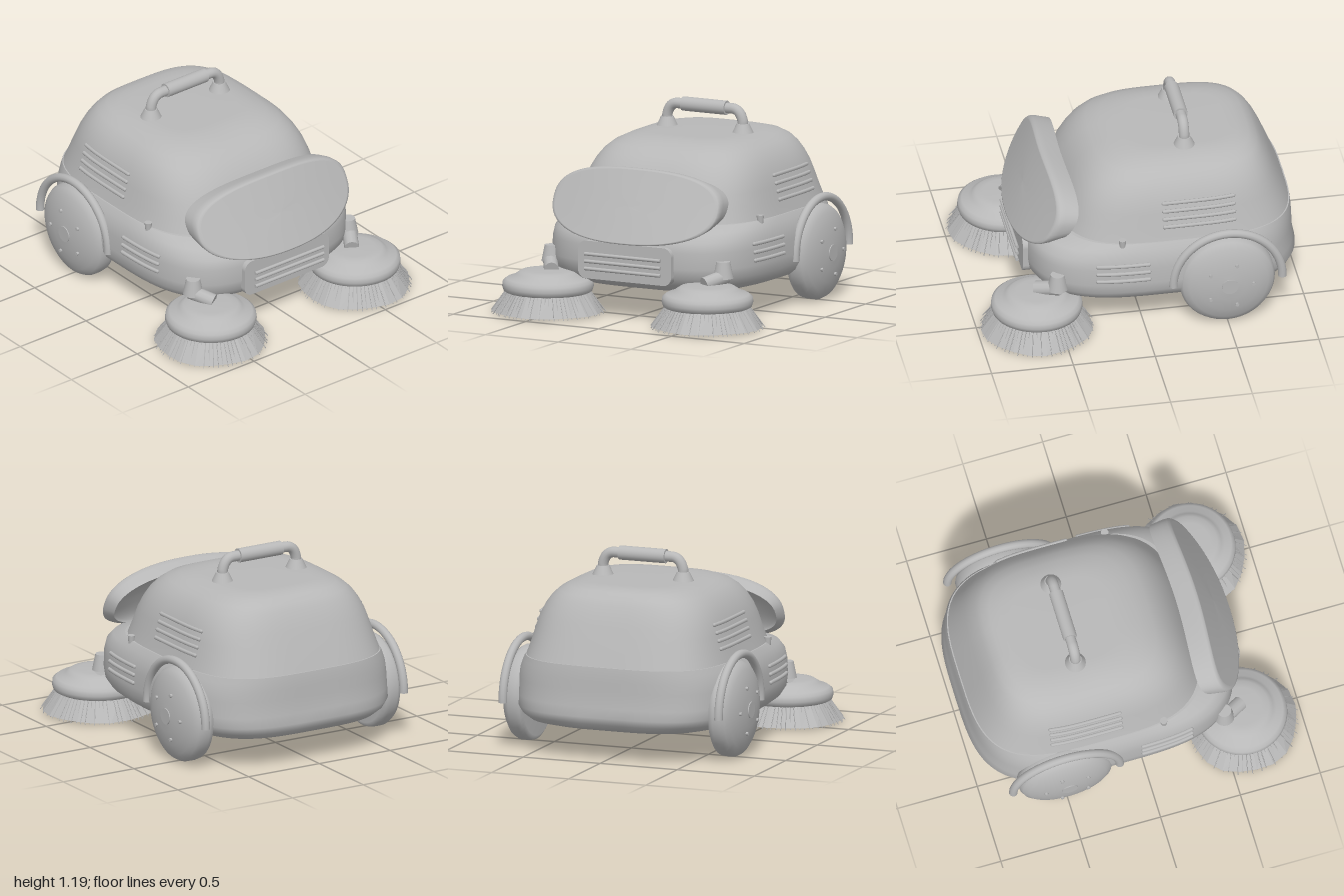
import * as THREE from 'three';

const grey = new THREE.MeshStandardMaterial({ color: 0xb8b8b8 });
grey.name = 'body grey';
const greyOpen = grey.clone();
greyOpen.side = THREE.DoubleSide;
const V = (x, y, z) => new THREE.Vector3(x, y, z);

function add(parent, name, geo, pos = [0, 0, 0], mat = grey) {
  const m = new THREE.Mesh(geo, mat);
  m.name = name;
  m.position.set(...pos);
  parent.add(m);
  return m;
}

// Skin over closed rings of equal point count
function loft(rings) {
  const n = rings[0].length, pos = [], idx = [];
  rings.forEach(r => r.forEach(p => pos.push(p.x, p.y, p.z)));
  for (let i = 0; i < rings.length - 1; i++) {
    for (let j = 0; j < n; j++) {
      const a = i * n + j, b = i * n + (j + 1) % n, c = a + n, d = b + n;
      idx.push(a, c, b, b, c, d);
    }
  }
  const g = new THREE.BufferGeometry();
  g.setAttribute('position', new THREE.Float32BufferAttribute(pos, 3));
  g.setIndex(idx);
  g.computeVertexNormals();
  return g;
}

// Unit superellipse outline
const outline = (n, count) => Array.from({ length: count }, (_, i) => {
  const t = i / count * Math.PI * 2, c = Math.cos(t), s = Math.sin(t);
  return [Math.sign(c) * Math.abs(c) ** (2 / n), Math.sign(s) * Math.abs(s) ** (2 / n)];
});

// Body sections: y, half width, back z, front z
const CHASSIS = [
  [0.18, 0.56, -0.87, 0.52], [0.2, 0.63, -0.94, 0.57], [0.235, 0.675, -0.975, 0.62],
  [0.28, 0.7, -0.995, 0.655], [0.34, 0.705, -0.98, 0.665], [0.44, 0.7, -0.975, 0.665],
  [0.5, 0.69, -0.973, 0.65], [0.55, 0.668, -0.97, 0.6], [0.585, 0.645, -0.965, 0.48],
];
const HOOD = [
  [0.575, 0.642, -0.962, 0.46], [0.67, 0.612, -0.925, 0.425], [0.75, 0.592, -0.892, 0.395],
  [0.82, 0.57, -0.863, 0.355], [0.88, 0.54, -0.835, 0.315], [0.93, 0.505, -0.805, 0.265],
  [0.97, 0.46, -0.775, 0.21], [1.0, 0.4, -0.73, 0.13], [1.015, 0.33, -0.67, 0.05],
  [1.02, 0.27, -0.61, -0.02], [1.02, 0, -0.31, -0.31],
];
const N = 3.5;
const section = ([y, hx, zb, zf]) =>
  outline(N, 96).map(([u, v]) => V(u * hx, y, (zb + zf) / 2 + v * (zf - zb) / 2));

// Half width of the body surface at a height and depth
function surfaceX(rows, y, z) {
  const i = rows.findIndex((r, k) => k > 0 && r[0] >= y);
  const t = (y - rows[i - 1][0]) / (rows[i][0] - rows[i - 1][0]);
  const [, hx, zb, zf] = rows[i].map((v, k) => rows[i - 1][k] * (1 - t) + v * t);
  const w = Math.abs((z - (zb + zf) / 2) / ((zf - zb) / 2));
  return hx * (1 - w ** N) ** (1 / N);
}

// Rounded bar following the body side
function sideVent(parent, s, rows, y, z0, z1) {
  const pts = Array.from({ length: 7 }, (_, i) => {
    const z = z0 + (z1 - z0) * i / 6;
    return V(s * (surfaceX(rows, y, z) + 0.004), y, z);
  });
  add(parent, 'sideVent', new THREE.TubeGeometry(new THREE.CatmullRomCurve3(pts), 12, 0.012, 8));
  for (const p of [pts[0], pts[6]]) add(parent, 'ventEnd', new THREE.SphereGeometry(0.012, 8, 6), p.toArray());
}

const lathe = (pts, seg = 48) => new THREE.LatheGeometry(pts.map(p => new THREE.Vector2(...p)), seg);

// Tilted oval visor with a deep rim, bowed across its width
function buildVisor() {
  const g = new THREE.Group();
  g.name = 'visor';
  const shape = outline(2.45, 72);
  const ring = (k, dz = 0, ky = k) => shape.map(([u, v]) => {
    const x = 0.57 * u * k, y = 0.692 + 0.217 * v * k;
    return V(x, 0.692 + 0.217 * v * ky, 0.732 - (y - 0.475) * 0.49 - 0.08 * (x / 0.57) ** 2 + dz);
  });
  add(g, 'visorFace', loft([0, 0.25, 0.5, 0.75, 0.955].map(k => ring(k))));
  add(g, 'visorRim', loft([ring(0.955), ring(0.985, -0.002), ring(1, -0.015), ring(1, -0.05, 0.97), ring(0.985, -0.13, 0.82)]));
  add(g, 'visorBack', loft([ring(0.985, -0.13, 0.82), ring(0.93, -0.11, 0.77), ring(0.6, -0.06), ring(0, -0.04)]));
  return g;
}

function buildWheel(s) {
  const g = new THREE.Group();
  g.name = 'wheel';
  add(g, 'wheelDisc', lathe([[0, 0], [0.26, 0], [0.285, 0.015], [0.29, 0.04], [0.29, 0.085], [0.275, 0.112],
    [0.24, 0.135], [0.18, 0.156], [0.1, 0.172], [0, 0.178]]));
  add(g, 'hubCap', new THREE.CylinderGeometry(0.05, 0.05, 0.006, 24), [0, 0.178, 0]);
  for (let i = 0; i < 5; i++) {
    const a = i / 5 * Math.PI * 2;
    add(g, 'wheelBolt', new THREE.CylinderGeometry(0.011, 0.011, 0.02, 10),
      [0.145 * Math.sin(a), 0.166, -0.145 * Math.cos(a)]);
  }
  g.rotation.z = -s * Math.PI / 2;
  g.position.set(s * 0.6, 0.3, -0.5);
  return g;
}

function buildBrush(s) {
  const g = new THREE.Group();
  g.name = 'sweepingBrush';
  add(g, 'brushCap', lathe([[0, 0.13], [0.25, 0.13], [0.268, 0.14], [0.276, 0.165], [0.272, 0.195], [0.25, 0.212],
    [0.21, 0.222], [0.19, 0.24], [0.165, 0.256], [0.12, 0.262], [0, 0.264]]));
  // Faceted skirt with a slightly wavy lower edge
  const skirt = new THREE.CylinderGeometry(0.25, 0.335, 0.125, 20, 1, true).toNonIndexed();
  const p = skirt.attributes.position;
  for (let i = 0; i < p.count; i++) {
    if (p.getY(i) > 0) continue;
    const k = 1 + 0.025 * Math.sin(5 * Math.atan2(p.getZ(i), p.getX(i)) + 1);
    p.setXYZ(i, p.getX(i) * k, p.getY(i), p.getZ(i) * k);
  }
  skirt.computeVertexNormals();
  add(g, 'bristleSkirt', skirt, [0, 0.08, 0], greyOpen);
  for (let i = 0; i < 72; i++) {
    const a = i / 72 * Math.PI * 2, r = 0.337 + 0.009 * Math.sin(i * 2.4);
    const path = new THREE.LineCurve3(V(0.25 * Math.cos(a), 0.14, 0.25 * Math.sin(a)),
      V(r * Math.cos(a), 0.008, r * Math.sin(a)));
    add(g, 'bristle', new THREE.TubeGeometry(path, 1, 0.003, 4));
  }
  g.position.set(s * 0.548, 0, 0.64);
  return g;
}

export function createModel() {
  const model = new THREE.Group();
  model.name = 'floorSweeper';

  // Shell
  const base = section(CHASSIS[0]);
  add(model, 'chassis', loft(CHASSIS.map(section)));
  add(model, 'chassisFloor', loft([base.map(() => V(0, 0.18, -0.17)), base]));
  add(model, 'chassisShelf', loft([section(CHASSIS[8]), section([0.59, 0.6, -0.9, 0.4])]));
  add(model, 'hood', loft(HOOD.map(section)));
  model.add(buildVisor());

  // Front grille
  const w = 0.32, h = 0.115, r = 0.055, panel = new THREE.Shape();
  panel.absarc(w - r, h - r, r, 0, Math.PI / 2);
  panel.absarc(r - w, h - r, r, Math.PI / 2, Math.PI);
  panel.absarc(r - w, r - h, r, Math.PI, Math.PI * 1.5);
  panel.absarc(w - r, r - h, r, Math.PI * 1.5, Math.PI * 2);
  add(model, 'grillePanel', new THREE.ExtrudeGeometry(panel, { depth: 0.06, bevelEnabled: false }), [0, 0.355, 0.62]);
  for (const y of [0.305, 0.35, 0.395]) {
    add(model, 'grilleBar', new THREE.CylinderGeometry(0.011, 0.011, 0.52, 10), [0, y, 0.705]).rotation.z = Math.PI / 2;
  }

  // Carry handle
  const handle = new THREE.Group();
  handle.name = 'handle';
  model.add(handle);
  const path = new THREE.CurvePath();
  const at = (x, y) => V(x, y, -0.315);
  path.add(new THREE.LineCurve3(at(-0.26, 1.03), at(-0.26, 1.08)));
  path.add(new THREE.QuadraticBezierCurve3(at(-0.26, 1.08), at(-0.245, 1.155), at(-0.19, 1.158)));
  path.add(new THREE.LineCurve3(at(-0.19, 1.158), at(0.19, 1.158)));
  path.add(new THREE.QuadraticBezierCurve3(at(0.19, 1.158), at(0.245, 1.155), at(0.26, 1.08)));
  path.add(new THREE.LineCurve3(at(0.26, 1.08), at(0.26, 1.03)));
  add(handle, 'handleTube', new THREE.TubeGeometry(path, 60, 0.032, 14));
  add(handle, 'handleGrip', new THREE.CylinderGeometry(0.043, 0.043, 0.3, 24), [0, 1.158, -0.315]).rotation.z = Math.PI / 2;

  // Mirrored parts
  for (const s of [-1, 1]) {
    add(handle, 'handleFoot', new THREE.CylinderGeometry(0.038, 0.064, 0.055, 24), [s * 0.26, 1.045, -0.315]);
    model.add(buildWheel(s), buildBrush(s));

    const fender = add(model, 'fender', new THREE.TorusGeometry(0.333, 0.026, 12, 40, Math.PI), [s * 0.7, 0.3, -0.5]);
    fender.rotation.y = Math.PI / 2;
    for (const d of [-1, 1]) {
      add(model, 'fenderEnd', new THREE.CylinderGeometry(0.026, 0.026, 0.01, 12), [s * 0.7, 0.298, -0.5 + d * 0.333]);
    }

    for (const y of [0.67, 0.718, 0.766, 0.814]) sideVent(model, s, HOOD, y, -0.56, -0.13);
    for (const y of [0.37, 0.42, 0.47]) sideVent(model, s, CHASSIS, y, -0.02, 0.29);

    add(model, 'sidePeg', new THREE.CylinderGeometry(0.023, 0.018, 0.05, 14), [s * 0.627, 0.592, 0.13]);

    // Brush mount and arm
    add(model, 'brushMount', new THREE.CylinderGeometry(0.042, 0.062, 0.1, 20), [s * 0.59, 0.342, 0.52]);
    const arm = new THREE.Vector3(-0.08 * s, -0.04, 0.13);
    const tube = add(model, 'brushArm', new THREE.CylinderGeometry(0.045, 0.045, arm.length(), 12), [s * 0.565, 0.285, 0.575]);
    tube.quaternion.setFromUnitVectors(V(0, 1, 0), arm.normalize());
  }
  return model;
}
